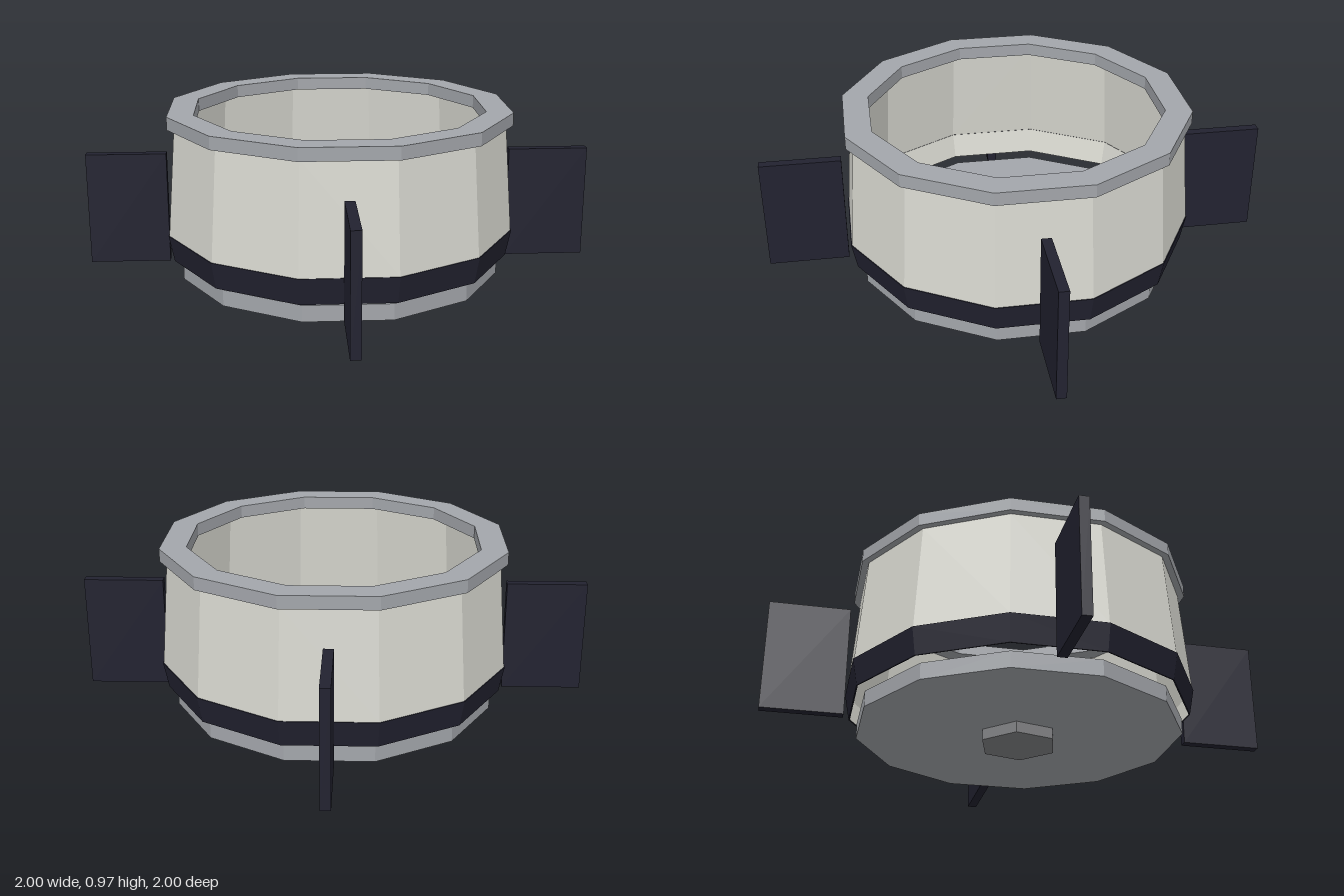
import * as THREE from 'three';

const SIDES = 12;

export function createModel() {
  const model = new THREE.Group();

  const paint = (name, color, side = THREE.FrontSide) => {
    const m = new THREE.MeshStandardMaterial({ color, side });
    m.name = name;
    return m;
  };
  const grey = paint('metal grey', 0xa3a6ab);
  const darkGrey = paint('dark grey', 0x828385);
  const pale = paint('pale shell', 0xd8d8d0, THREE.DoubleSide);
  const navy = paint('dark navy', 0x222230);

  // Faceted normals for the low-poly look
  const faceted = (geometry) => {
    const g = geometry.toNonIndexed();
    g.computeVertexNormals();
    return g;
  };
  const add = (name, geometry, material, y = 0) => {
    const mesh = new THREE.Mesh(faceted(geometry), material);
    mesh.name = name;
    mesh.position.y = y;
    model.add(mesh);
    return mesh;
  };
  const ring = (points) =>
    new THREE.LatheGeometry(points.map(([r, y]) => new THREE.Vector2(r, y)), SIDES);

  // Thin open shell, pulled in at the bottom behind the band
  add('shell', ring([[0.93, 0.172], [0.96, 0.315], [0.913, 0.9]]), pale);

  // Dark band around the bottom of the shell
  add('band', ring([[0.93, 0.17], [0.937, 0.17], [0.965, 0.315], [0.958, 0.315]]), navy);

  // Flat rim with an open middle
  add('rim', ring([[0.95, 0.9], [0.95, 0.97], [0.805, 0.97], [0.805, 0.9], [0.95, 0.9]]), grey);

  // Floating base plate and the hexagonal foot under it
  add('basePlate', new THREE.CylinderGeometry(0.89, 0.89, 0.088, SIDES), grey, 0.104);
  add('foot', new THREE.CylinderGeometry(0.217, 0.217, 0.06, 6), darkGrey, 0.03);

  // Four diagonal fins
  const inner = 0.949, outer = 1.388;
  for (let i = 0; i < 4; i++) {
    const angle = Math.PI / 4 + (i * Math.PI) / 2;
    const fin = add('fin', new THREE.BoxGeometry(outer - inner, 0.62, 0.053), navy, 0.404);
    const r = (inner + outer) / 2;
    fin.position.x = Math.cos(angle) * r;
    fin.position.z = -Math.sin(angle) * r;
    fin.rotation.y = angle;
  }

  return model;
}
